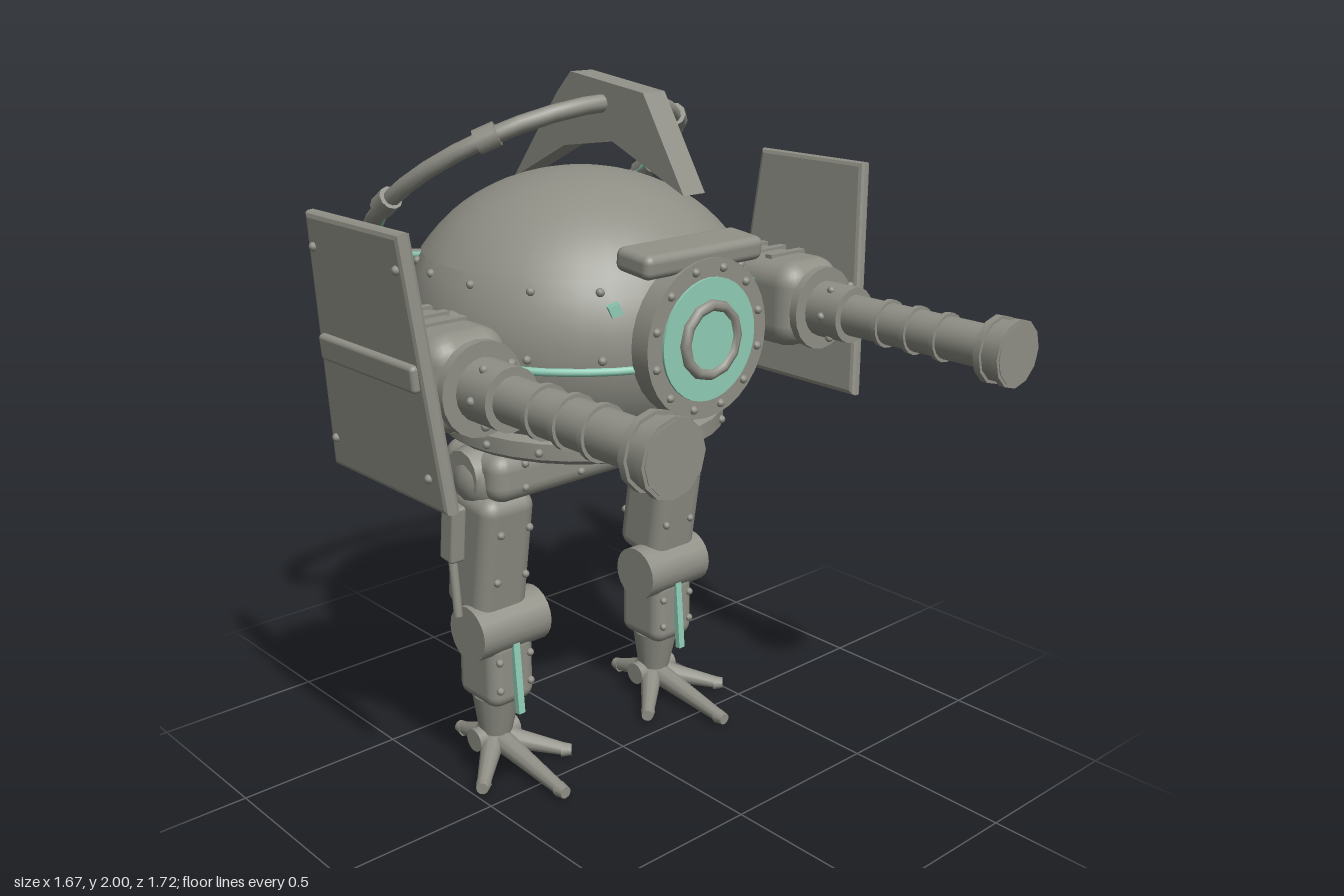
import * as THREE from 'three';
import { toCreasedNormals } from 'three/addons/utils/BufferGeometryUtils.js';
import { RoundedBoxGeometry } from 'three/addons/geometries/RoundedBoxGeometry.js';

const steel = new THREE.MeshStandardMaterial({ color: 0x8f8f86 });
steel.name = 'steel';
const teal = new THREE.MeshStandardMaterial({ color: 0x8fccb5 });
teal.name = 'teal';

const BODY = { y: 1.33, z: -0.18, r: 0.495, h: 0.41 };
const V = (x, y, z) => new THREE.Vector3(x, y, z);
const UP = V(0, 1, 0);

function add(parent, name, geo, [x, y, z], mat = steel, rot = [0, 0, 0]) {
  const m = new THREE.Mesh(geo, mat);
  m.name = name;
  m.position.set(x, y, z);
  m.rotation.set(...rot);
  parent.add(m);
  return m;
}
const rbox = (w, h, d, r) => new RoundedBoxGeometry(w, h, d, 3, r);

// Cylinder or cone running from a to b
function rod(parent, name, a, b, ra, rb = ra, mat = steel, seg = 16) {
  const d = b.clone().sub(a);
  const m = add(parent, name, new THREE.CylinderGeometry(rb, ra, d.length(), seg), a.clone().add(b).multiplyScalar(0.5).toArray(), mat);
  m.quaternion.setFromUnitVectors(UP, d.normalize());
  return m;
}
const rivetGeo = new THREE.SphereGeometry(0.012, 8, 6);
const rivet = (parent, x, y, z) => add(parent, 'rivet', rivetGeo, [x, y, z]);

// Body radius at a given height
const radiusAt = (y) => BODY.r * Math.sqrt(Math.max(0, 1 - ((y - BODY.y) / BODY.h) ** 2));

function rivetRing(parent, y, r, n) {
  for (let i = 0; i < n; i++) {
    const a = ((i + 0.5) / n) * Math.PI * 2;
    rivet(parent, Math.sin(a) * r, y, BODY.z + Math.cos(a) * r);
  }
}

function buildBody(root) {
  const g = new THREE.Group();
  g.name = 'body';
  root.add(g);
  // Shell with a slightly raised cap
  const pts = [];
  for (let i = 0; i <= 10; i++) {
    const y = 1.06 + (0.46 * i) / 10;
    pts.push(new THREE.Vector2(radiusAt(y), y));
  }
  for (let i = 0; i <= 12; i++) {
    const a = Math.asin(0.19 / BODY.h) + (i / 12) * (Math.PI / 2 - Math.asin(0.19 / BODY.h));
    pts.push(new THREE.Vector2(Math.max(0, Math.cos(a) * BODY.r * (i ? 1.012 : 1.016)), BODY.y + Math.sin(a) * BODY.h));
  }
  add(g, 'shell', toCreasedNormals(new THREE.LatheGeometry(pts, 36), 0.5), [0, 0, BODY.z]);
  add(g, 'glowSeam', new THREE.TorusGeometry(radiusAt(1.29), 0.011, 8, 48), [0, 1.29, BODY.z], teal, [Math.PI / 2, 0, 0]);
  rivetRing(g, 1.32, radiusAt(1.32), 16);
  rivetRing(g, 1.49, radiusAt(1.49), 16);

  // Waist ring and hip block
  const waist = [[0, 1.005], [0.39, 1.005], [0.41, 1.02], [0.41, 1.065], [0.39, 1.08], [0, 1.08]].map((p) => new THREE.Vector2(...p));
  add(g, 'waistRing', toCreasedNormals(new THREE.LatheGeometry(waist, 32), 0.6), [0, 0, BODY.z]);
  rivetRing(g, 1.04, 0.412, 16);
  add(g, 'hipBlock', rbox(0.8, 0.145, 0.27, 0.05), [0, 0.93, -0.2]);
  for (const x of [-0.3, -0.1, 0.1, 0.3]) for (const y of [0.9, 0.97]) rivet(g, x, y, -0.067);

  // Eye assembly
  rod(g, 'eyeMount', V(0, 1.35, 0.1), V(0, 1.35, 0.28), 0.18, 0.18, steel, 32);
  rod(g, 'eyePlate', V(0, 1.35, 0.275), V(0, 1.35, 0.335), 0.215, 0.215, steel, 32);
  rod(g, 'eyeGlow', V(0, 1.35, 0.334), V(0, 1.35, 0.342), 0.165, 0.165, teal, 32);
  add(g, 'eyeRing', new THREE.TorusGeometry(0.093, 0.016, 8, 12), [0, 1.35, 0.345]);
  rod(g, 'eyeLens', V(0, 1.35, 0.342), V(0, 1.35, 0.35), 0.083, 0.083, teal, 24);
  for (let i = 0; i < 12; i++) {
    const a = ((i + 0.5) / 12) * Math.PI * 2;
    rivet(g, Math.cos(a) * 0.19, 1.35 + Math.sin(a) * 0.19, 0.335);
  }
  add(g, 'brow', rbox(0.42, 0.065, 0.13, 0.022), [0, 1.567, 0.265], steel, [0.1, 0, 0]);
  for (const s of [-1, 1]) add(g, 'sideLight', new THREE.BoxGeometry(0.03, 0.03, 0.03), [s * 0.24, 1.45, 0.24], teal, [0, s * 0.5, s * -0.4]);

  // Rear vents
  for (const y of [1.17, 1.22, 1.27, 1.33]) add(g, 'rearVent', new THREE.BoxGeometry(0.26, 0.022, 0.05), [0, y, BODY.z - radiusAt(y) + 0.01]);

  // Crest fin, outlined in the z-y plane
  const fin = new THREE.Shape([[-0.275, 1.72], [-0.12, 1.965], [0.17, 2.0], [0.23, 1.94], [0.43, 1.685], [0.2, 1.8], [0, 1.83]].reverse().map((p) => new THREE.Vector2(...p)));
  add(g, 'crestFin', new THREE.ExtrudeGeometry(fin, { depth: 0.076, bevelEnabled: false }), [-0.038, 0, 0], steel, [0, Math.PI / 2, 0]);
}

function buildHalo(root) {
  const g = new THREE.Group();
  g.name = 'halo';
  g.position.set(0, 1.662, -0.43);
  g.rotation.x = -0.597;
  root.add(g);
  const R = 0.473, flat = [Math.PI / 2, 0, 0];
  add(g, 'haloTube', new THREE.TorusGeometry(R, 0.024, 10, 32), [0, 0, 0], steel, flat);
  add(g, 'haloGlow', new THREE.TorusGeometry(R - 0.023, 0.01, 8, 32), [0, -0.005, 0], teal, flat);
  for (let i = 0; i < 8; i++) {
    const a = (i * Math.PI) / 4, c = V(Math.sin(a) * R, 0, Math.cos(a) * R);
    const t = V(Math.cos(a), 0, -Math.sin(a)).multiplyScalar(0.03);
    rod(g, 'haloClamp', c.clone().sub(t), c.clone().add(t), 0.034, 0.034, steel, 10);
  }
}

function buildArm(root, s) {
  const g = new THREE.Group();
  g.name = s > 0 ? 'leftArm' : 'rightArm';
  root.add(g);
  const x = s * 0.62, y = 1.305, bar = V(x, y, 0);
  const along = (name, z0, z1, r, seg = 20) => rod(g, name, bar.clone().setZ(z0), bar.clone().setZ(z1), r, r, steel, seg);

  // Shoulder housing and its links to the body and shield
  add(g, 'shoulder', rbox(0.24, 0.255, 0.44, 0.07), [x, 1.312, -0.052]);
  rod(g, 'shoulderLink', V(s * 0.4, 1.31, -0.13), V(s * 0.53, 1.31, -0.13), 0.11);
  rod(g, 'shieldLink', V(s * 0.7, 1.31, -0.05), V(s * 0.78, 1.31, -0.05), 0.08);
  for (const z of [-0.2, -0.125, -0.05, 0.025]) add(g, 'shoulderVent', new THREE.BoxGeometry(0.145, 0.02, 0.024), [x + s * 0.005, 1.438, z]);

  // Cannon
  along('cannonFlange', 0.165, 0.19, 0.122);
  along('cannonCollar', 0.19, 0.305, 0.082);
  along('cannonBarrel', 0.3, 0.8, 0.06);
  for (const z of [0.43, 0.53, 0.63]) along('barrelBand', z - 0.008, z + 0.008, 0.069);
  along('muzzle', 0.785, 0.865, 0.085, 12);
  for (const z of [0.797, 0.853]) along('muzzleBand', z - 0.01, z + 0.01, 0.094, 12);
  for (let i = 0; i < 6; i++) rivet(g, x + Math.cos(i * Math.PI / 3) * 0.082, y + Math.sin(i * Math.PI / 3) * 0.082, 0.25);

  // Shield plate leaning outward at the top
  const p = new THREE.Group();
  p.name = 'shield';
  p.position.set(s * 0.778, 1.365, 0);
  p.rotation.z = -s * 0.1;
  g.add(p);
  const outline = new THREE.Shape([[-0.212, -0.332], [0.277, -0.332], [0.232, 0.332], [-0.152, 0.332]].map((q) => new THREE.Vector2(...q)));
  const plate = new THREE.ExtrudeGeometry(outline, { depth: 0.016, bevelThickness: 0.012, bevelSize: 0.014, bevelSegments: 2 });
  add(p, 'shieldPlate', plate, [-0.008, 0, 0], steel, [0, Math.PI / 2, 0]);
  add(p, 'shieldBar', rbox(0.04, 0.07, 0.42, 0.012), [s * 0.018, -0.002, -0.032]);
  for (const [ry, rz] of [[0.26, 0.145], [0.26, -0.22], [-0.26, 0.165], [-0.26, -0.255]]) rivet(p, s * 0.021, ry, rz);
}

function buildLeg(root, s) {
  const g = new THREE.Group();
  g.name = s > 0 ? 'leftLeg' : 'rightLeg';
  g.position.x = s * 0.32;
  root.add(g);
  add(g, 'hipJoint', new THREE.SphereGeometry(0.1, 16, 12), [s * 0.015, 0.91, -0.19]);
  rod(g, 'hipCap', V(s * -0.02, 0.93, -0.2), V(s * 0.1, 0.93, -0.2), 0.1, 0.07, steel, 12);

  // Thigh with outer piston
  add(g, 'thigh', rbox(0.18, 0.39, 0.185, 0.045), [s * 0.015, 0.69, -0.193], steel, [0.15, 0, 0]);
  add(g, 'pistonCase', rbox(0.05, 0.17, 0.06, 0.01), [s * 0.125, 0.76, -0.215], steel, [0.1, 0, 0]);
  rod(g, 'pistonRod', V(s * 0.128, 0.7, -0.22), V(s * 0.128, 0.51, -0.2), 0.013);
  for (const dx of [-0.045, 0.055]) {
    rivet(g, s * dx, 0.77, -0.086);
    rivet(g, s * dx, 0.62, -0.109);
    rivet(g, s * dx, 0.77, -0.275);
    rivet(g, s * dx, 0.62, -0.299);
  }

  // Knee and shin
  rod(g, 'knee', V(-0.12, 0.46, -0.17), V(0.12, 0.46, -0.17), 0.083, 0.083, steel, 20);
  add(g, 'shin', rbox(0.16, 0.22, 0.185, 0.04), [0, 0.325, -0.2]);
  for (const dx of [-0.055, 0.055]) for (const y of [0.28, 0.37]) rivet(g, dx, y, -0.108);
  add(g, 'shinGlow', new THREE.BoxGeometry(0.022, 0.22, 0.018), [0, 0.31, -0.098], teal, [-0.09, 0, 0]);

  // Ankle and four-toed foot
  rod(g, 'ankle', V(0, 0.1, -0.212), V(0, 0.225, -0.205), 0.05, 0.072);
  add(g, 'ankleBall', new THREE.SphereGeometry(0.057, 16, 12), [0, 0.08, -0.22]);
  rod(g, 'anklePin', V(-0.075, 0.08, -0.22), V(0.075, 0.08, -0.22), 0.035);
  for (const [tx, tz] of [[0, 0.1], [-0.155, -0.07], [0.155, -0.07], [0, -0.385]]) {
    const tip = V(tx, 0.027, tz), root0 = V(0, 0.075, -0.22);
    rod(g, 'toe', root0, tip, 0.037, 0.019, steel, 10);
    const d = tip.clone().sub(root0).setY(0).normalize().multiplyScalar(0.015);
    rod(g, 'toeTip', tip.clone().sub(d), tip.clone().add(d), 0.023, 0.018, steel, 10);
  }
}

export function createModel() {
  const root = new THREE.Group();
  root.name = 'walkerRobot';
  buildBody(root);
  buildHalo(root);
  for (const s of [1, -1]) {
    buildArm(root, s);
    buildLeg(root, s);
  }
  return root;
}
